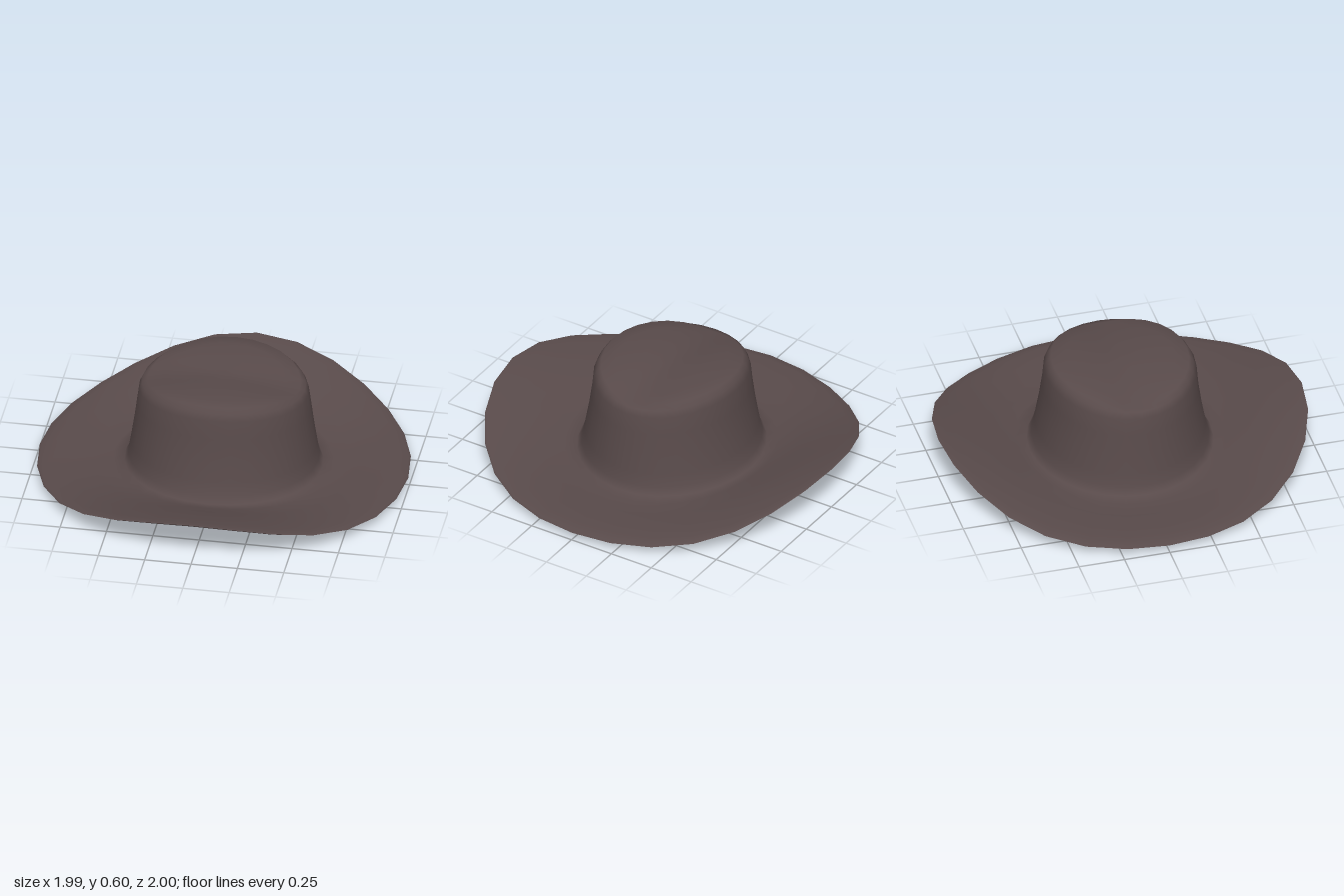
import * as THREE from 'three';
import { mergeVertices } from 'three/addons/utils/BufferGeometryUtils.js';

const SEGMENTS = 28;

// Crown top: domed along x, with a soft crease running from side to side
const crownTop = (x, z) => 0.602 - 0.26 * x * x - 0.07 * z * z - 0.026 * Math.exp(-((z / 0.15) ** 2));

// Each ring is [x radius, z radius, y at the sides, y at front and back, power of the blend];
// without heights it lies on the crown top, lowered by `drop`
function loft(rings, drop = 0) {
  const pos = [], index = [];
  rings.forEach(([rx, rz, ySide, yEnd, power = 2], k) => {
    for (let j = 0; j < SEGMENTS; j++) {
      const a = (j / SEGMENTS) * Math.PI * 2;
      const x = rx * Math.sin(a), z = rz * Math.cos(a);
      const y = ySide === undefined
        ? crownTop(x, z) - drop
        : ySide + (yEnd - ySide) * Math.abs(Math.cos(a)) ** power;
      pos.push(x, y, z);
      if (k === rings.length - 1) continue;
      const p = k * SEGMENTS + j, q = k * SEGMENTS + ((j + 1) % SEGMENTS);
      index.push(p, p + SEGMENTS, q + SEGMENTS, p, q + SEGMENTS, q);
    }
  });
  const geo = new THREE.BufferGeometry();
  geo.setAttribute('position', new THREE.Float32BufferAttribute(pos, 3));
  geo.setIndex(index);
  const merged = mergeVertices(geo);
  merged.computeVertexNormals();
  return merged;
}

const topRings = (rx, rz) => [0, 0.2, 0.4, 0.6, 0.8, 1].map((f) => [rx * f, rz * f]);

export function createModel() {
  const felt = new THREE.MeshStandardMaterial({ color: 0x584a4a });
  felt.name = 'brown felt';
  const group = new THREE.Group();
  group.name = 'hat';

  // Outside of the crown and upper face of the brim
  const outer = new THREE.Mesh(loft([
    ...topRings(0.41, 0.365),
    [0.437, 0.388, 0.53, 0.565],
    [0.453, 0.404, 0.495, 0.53],
    [0.466, 0.413, 0.4, 0.42],
    [0.48, 0.43, 0.29, 0.3],
    [0.498, 0.452, 0.17, 0.18],
    [0.51, 0.47, 0.1, 0.11],
    [0.53, 0.495, 0.055, 0.07],
    [0.59, 0.56, 0.044, 0.085, 3],
    [0.7, 0.68, 0.05, 0.137, 3.5],
    [0.83, 0.82, 0.062, 0.192, 4],
    [0.94, 0.94, 0.06, 0.227, 4],
    [0.985, 0.99, 0.05, 0.24, 4],
    [0.993, 1, 0.04, 0.238, 4],
  ]), felt);
  outer.name = 'crownAndBrim';

  // Lower face of the brim and inside of the crown
  const inner = new THREE.Mesh(loft([
    [0.993, 1, 0.04, 0.238, 4],
    [0.97, 0.98, 0.034, 0.222, 4],
    [0.83, 0.82, 0.036, 0.166, 4],
    [0.7, 0.68, 0.016, 0.1, 3.5],
    [0.59, 0.56, 0.001, 0.04, 3],
    [0.53, 0.5, 0, 0.022],
    [0.502, 0.462, 0.025, 0.04],
    [0.487, 0.44, 0.13, 0.14],
    [0.467, 0.417, 0.28, 0.29],
    [0.44, 0.39, 0.48, 0.51],
    ...topRings(0.4, 0.355).reverse(),
  ], 0.018), felt);
  inner.name = 'lining';

  group.add(outer, inner);
  return group;
}
